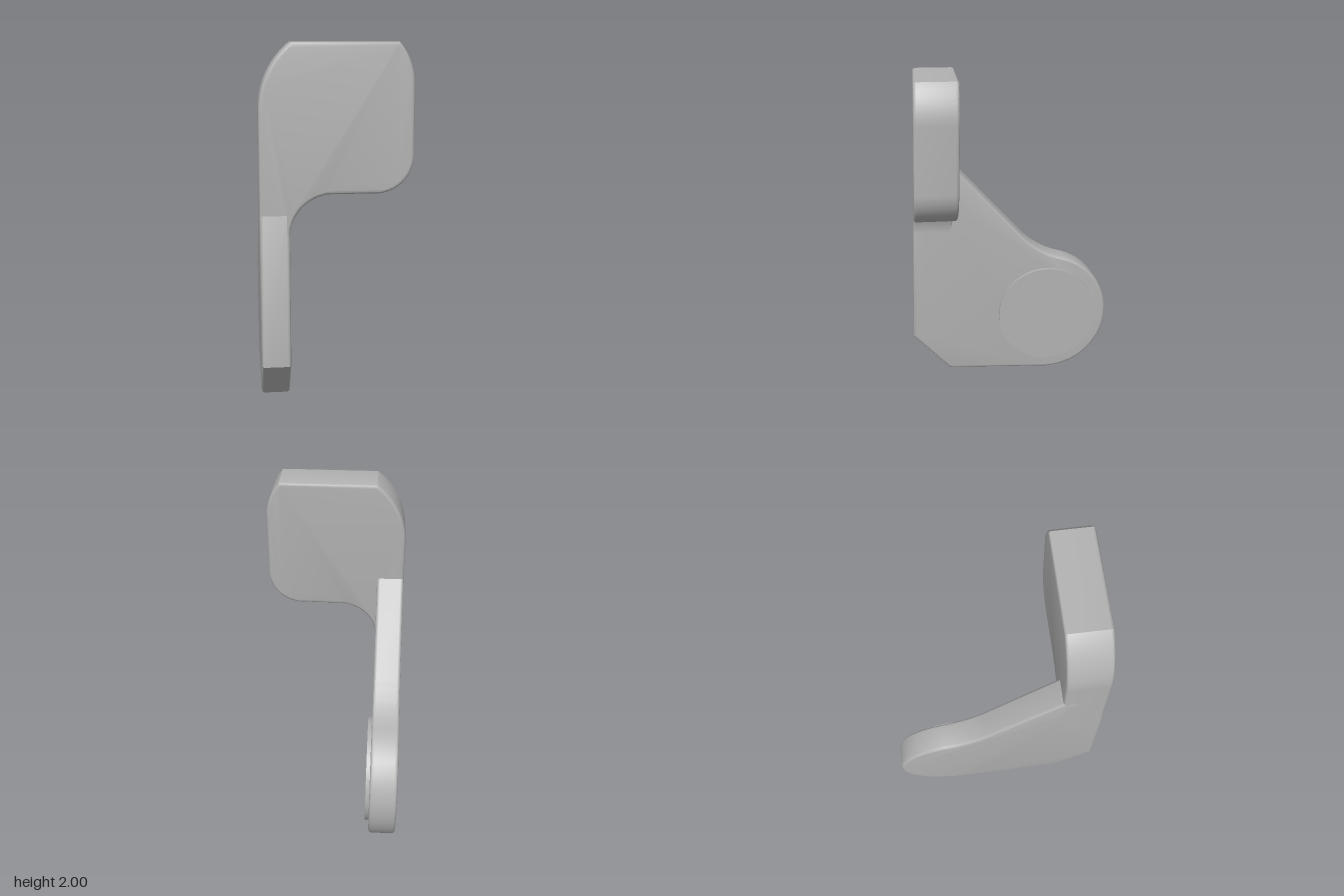
import * as THREE from 'three';
import { toCreasedNormals } from 'three/addons/utils/BufferGeometryUtils.js';

const ROUND = 0.018; // softened edge radius
const LEAN = 0.032;  // backward lean of the front plate
const rad = THREE.MathUtils.degToRad;

// Plate of the given total thickness with rounded edges that stay inside the outline
function plateGeometry(shape, thickness) {
  const geometry = new THREE.ExtrudeGeometry(shape, {
    depth: thickness - 2 * ROUND,
    bevelEnabled: true,
    bevelThickness: ROUND,
    bevelSize: ROUND,
    bevelOffset: -ROUND,
    bevelSegments: 4,
    curveSegments: 24,
  });
  return geometry.translate(0, 0, ROUND);
}

export function createModel() {
  const group = new THREE.Group();
  const grey = new THREE.MeshStandardMaterial({ color: 0xb2b2b2 });
  grey.name = 'grey';

  function add(name, geometry) {
    const mesh = new THREE.Mesh(geometry, grey);
    mesh.name = name;
    group.add(mesh);
  }

  // Side plate: drawn with -z across and y up, then turned to face +x
  const side = new THREE.Shape();
  side.moveTo(-0.63, 0.27);
  side.lineTo(-0.405, 0.03);
  side.absarc(0.235, 0.395, 0.395, rad(-93), rad(76), false);
  side.quadraticCurveTo(0.185, 0.814, 0.07, 0.94);
  side.lineTo(-0.40, 1.455);
  side.lineTo(-0.50, 1.3);
  side.lineTo(-0.603, 1.1);
  side.closePath();
  const sideGeometry = plateGeometry(side, 0.16);
  sideGeometry.rotateY(Math.PI / 2).translate(-0.41, 0, 0);
  add('sidePlate', toCreasedNormals(sideGeometry, 0.5));

  // Front plate: rounded pad whose arm runs down into the side plate
  const front = new THREE.Shape();
  front.moveTo(-0.41, 0.9);
  front.lineTo(-0.25, 0.9);
  front.lineTo(-0.25, 0.98);
  front.absarc(-0.02, 0.98, 0.23, Math.PI, Math.PI / 2, true);
  front.absarc(0.21, 1.41, 0.2, -Math.PI / 2, 0, false);
  front.absarc(0.07, 1.78, 0.34, 0, rad(40.3), false);
  front.absarc(0.05, 1.64, 0.46, rad(128.5), Math.PI, false);
  front.closePath();
  const frontGeometry = plateGeometry(front, 0.245);
  // Shear the plate so that it leans back towards the top
  const position = frontGeometry.attributes.position;
  for (let i = 0; i < position.count; i++) {
    position.setZ(i, position.getZ(i) + 0.393 - LEAN * position.getY(i));
  }
  add('frontPlate', toCreasedNormals(frontGeometry, 0.5));

  // Raised round pad on the inner face of the side plate
  const disc = new THREE.CylinderGeometry(0.315, 0.315, 0.035, 64);
  disc.rotateZ(-Math.PI / 2).translate(-0.2445, 0.395, -0.24);
  add('roundPad', disc);

  return group;
}
